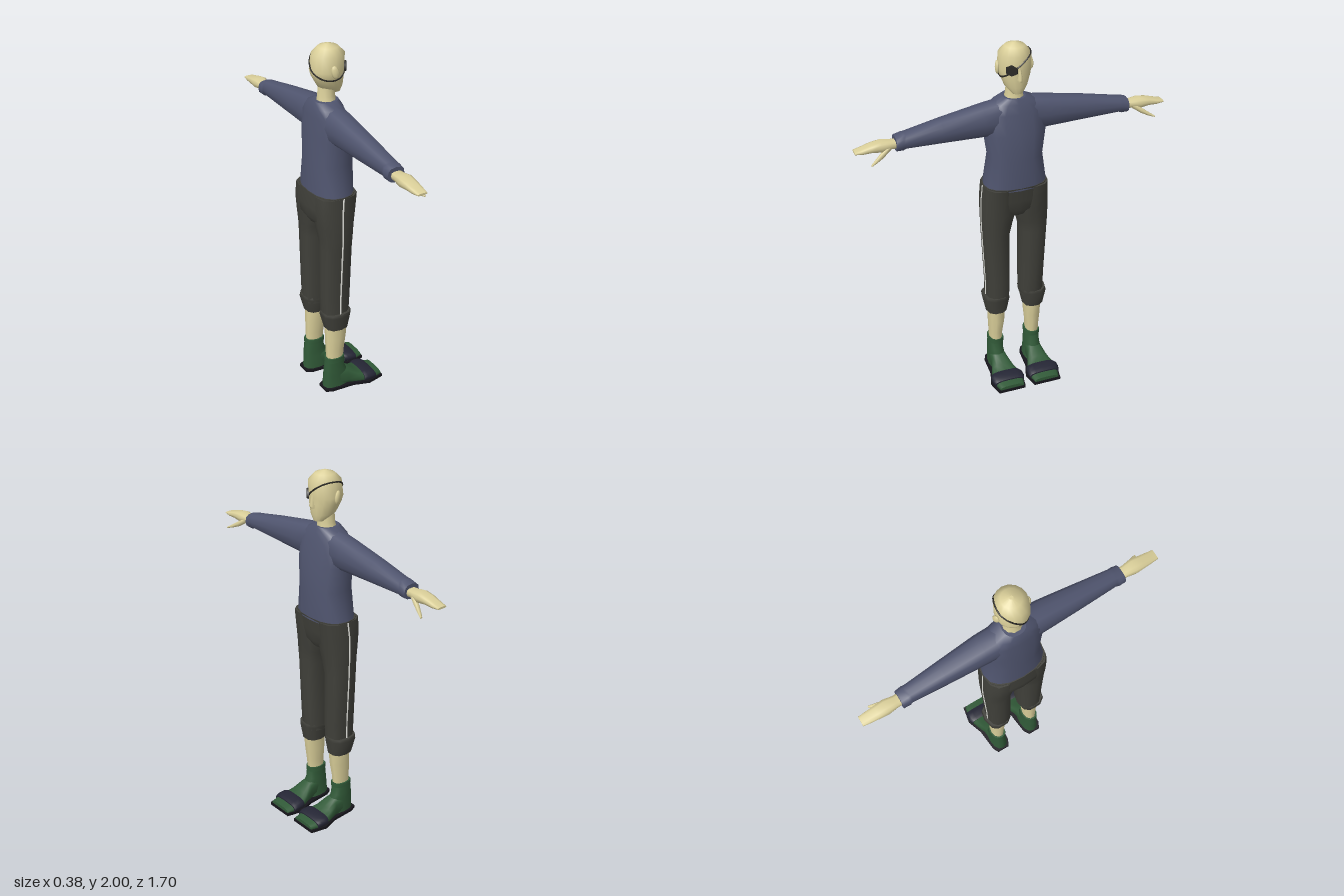
import * as THREE from 'three';

const mat = (name, color) => {
  const m = new THREE.MeshStandardMaterial({ color });
  m.name = name;
  return m;
};

// Unit vectors (u, v) across each lofting axis, with u x v along the axis.
const AXES = {
  x: (t, u, v) => [t, u, v],
  y: (t, u, v) => [v, t, u],
  z: (t, u, v) => [u, v, t],
};

// Point on a section [t, uMin, uMax, vMin, vMax], rounded by power p.
function sectionPoint(axis, [t, u0, u1, v0, v1], angle, p) {
  const bend = (k) => Math.sign(k) * Math.abs(k) ** (2 / p);
  const u = (u0 + u1) / 2 + ((u1 - u0) / 2) * bend(Math.cos(angle));
  const v = (v0 + v1) / 2 + ((v1 - v0) / 2) * bend(Math.sin(angle));
  return AXES[axis](t, u, v);
}

// Smooth closed skin through sections in rising order, with flat end caps.
function loft(axis, sections, sides = 12, p = 2.3) {
  const pos = [], index = [];
  const ring = (s) => {
    const start = pos.length / 3;
    for (let j = 0; j < sides; j++) pos.push(...sectionPoint(axis, s, (j / sides) * Math.PI * 2, p));
    return start;
  };
  const starts = sections.map(ring);
  for (let i = 0; i + 1 < starts.length; i++) {
    for (let j = 0; j < sides; j++) {
      const k = (j + 1) % sides;
      const a = starts[i] + j, b = starts[i] + k, c = starts[i + 1] + j, d = starts[i + 1] + k;
      index.push(a, b, c, b, d, c);
    }
  }
  [sections[0], sections[sections.length - 1]].forEach((s, end) => {
    const start = ring(s), mid = pos.length / 3;
    pos.push(...AXES[axis](s[0], (s[1] + s[2]) / 2, (s[3] + s[4]) / 2));
    for (let j = 0; j < sides; j++) {
      const a = start + j, b = start + ((j + 1) % sides);
      index.push(mid, end ? a : b, end ? b : a);
    }
  });
  const g = new THREE.BufferGeometry();
  g.setAttribute('position', new THREE.Float32BufferAttribute(pos, 3));
  g.setIndex(index);
  g.computeVertexNormals();
  return g;
}

// Copy reflected to the other side of the body.
function mirrored(geometry) {
  const g = geometry.clone().scale(1, 1, -1);
  const a = g.index.array;
  for (let i = 0; i < a.length; i += 3) [a[i], a[i + 1]] = [a[i + 1], a[i]];
  g.computeVertexNormals();
  return g;
}

export function createModel() {
  const skin = mat('skin', 0xdbd09a), shirt = mat('shirt blue', 0x50556f);
  const cloth = mat('trouser grey', 0x40403a), green = mat('shoe green', 0x315a38);
  const sole = mat('sole black', 0x17161c), band = mat('band navy', 0x252635);
  const white = mat('stripe white', 0xe4e4de), patch = mat('patch black', 0x2b2a26);

  const model = new THREE.Group();
  model.name = 'figure';
  const add = (name, geometry, material) => {
    const m = new THREE.Mesh(geometry, material);
    m.name = name;
    model.add(m);
    return m;
  };
  const pair = (name, geometry, material) => {
    add(name + 'Right', geometry, material);
    add(name + 'Left', mirrored(geometry), material);
  };

  // Head and neck
  const headRings = [
    [1.742, -0.028, 0.028, -0.04, 0.008],
    [1.78, -0.06, 0.06, -0.115, 0.021],
    [1.835, -0.08, 0.08, -0.145, 0.025],
    [1.87, -0.087, 0.087, -0.155, 0.024],
    [1.95, -0.083, 0.083, -0.145, 0.03],
    [1.985, -0.052, 0.052, -0.11, -0.005],
    [2.0, -0.01, 0.01, -0.07, -0.05],
  ];
  add('head', loft('y', headRings, 16, 2), skin);
  add('neck', loft('y', [
    [1.68, -0.058, 0.058, -0.125, -0.015],
    [1.73, -0.045, 0.045, -0.115, -0.022],
    [1.8, -0.045, 0.045, -0.11, -0.022],
  ], 10, 2), skin);
  add('nose', loft('y', [
    [1.815, -0.014, 0.014, 0.0, 0.034],
    [1.83, -0.014, 0.014, 0.0, 0.043],
    [1.885, -0.006, 0.006, 0.0, 0.027],
  ], 6, 2), skin);
  pair('ear', new THREE.SphereGeometry(1, 8, 6).scale(0.02, 0.036, 0.012)
    .rotateZ(0.2).rotateY(-0.3).translate(-0.068, 1.875, 0.089), skin);

  // Eye patch and its slanting strap, which follows the head surface
  const headPoint = (angle, y) => {
    let i = 0;
    while (i < headRings.length - 2 && headRings[i + 1][0] < y) i++;
    const a = headRings[i], b = headRings[i + 1], k = (y - a[0]) / (b[0] - a[0]);
    return sectionPoint('y', a.map((n, j) => n + (b[j] - n) * k), angle, 2);
  };
  const strap = [];
  for (let i = 0; i < 32; i++) {
    const angle = (i / 32) * Math.PI * 2;
    let y = 1.89, q;
    for (let n = 0; n < 12; n++) {
      q = headPoint(angle, y);
      y = (y + 1.9 + 0.15 * q[0] - 0.8 * q[2]) / 2;
    }
    strap.push(new THREE.Vector3(...q));
  }
  add('eyePatchStrap', new THREE.TubeGeometry(new THREE.CatmullRomCurve3(strap, true), 64, 0.0045, 5, true), patch);
  add('eyePatch', new THREE.CylinderGeometry(0.033, 0.035, 0.009, 6).scale(1, 1, 0.85)
    .rotateX(Math.PI / 2).rotateY(0.93).translate(0.018, 1.88, 0.044), patch);

  // Jumper
  add('torso', loft('y', [
    [1.2, -0.174, 0.174, -0.182, 0.045],
    [1.38, -0.146, 0.146, -0.178, 0.051],
    [1.52, -0.168, 0.168, -0.168, 0.037],
    [1.63, -0.165, 0.165, -0.158, 0.016],
    [1.68, -0.12, 0.12, -0.15, 0.002],
    [1.707, -0.06, 0.06, -0.138, -0.008],
  ], 16, 2.4), shirt);
  pair('sleeve', loft('z', [
    [0.06, -0.145, 0.005, 1.5, 1.697],
    [0.18, -0.142, 0.005, 1.508, 1.678],
    [0.4, -0.129, -0.01, 1.512, 1.638],
    [0.585, -0.116, -0.022, 1.515, 1.6],
    [0.6, -0.12, -0.019, 1.509, 1.598],
    [0.637, -0.118, -0.022, 1.509, 1.588],
  ], 12, 2.5), shirt);

  // Hands: mitten of fingers and a separate thumb
  pair('hand', loft('z', [
    [0.62, -0.098, -0.036, 1.525, 1.567],
    [0.66, -0.1, -0.036, 1.526, 1.568],
    [0.71, -0.107, -0.028, 1.518, 1.575],
    [0.76, -0.105, -0.032, 1.525, 1.566],
    [0.81, -0.099, -0.034, 1.525, 1.552],
    [0.848, -0.094, -0.038, 1.531, 1.542],
  ], 10, 3.2), skin);
  pair('thumb', loft('z', [
    [0.665, -0.06, -0.035, 1.525, 1.555],
    [0.71, -0.05, -0.018, 1.495, 1.53],
    [0.745, -0.03, -0.005, 1.482, 1.505],
    [0.778, -0.008, 0.006, 1.474, 1.483],
  ], 6, 2), skin);

  // Trousers
  add('trouserSeat', loft('y', [
    [1.03, -0.07, 0.07, -0.165, 0.0],
    [1.07, -0.165, 0.165, -0.188, 0.022],
    [1.13, -0.18, 0.18, -0.193, 0.033],
    [1.215, -0.176, 0.176, -0.186, 0.046],
  ], 16, 2.6), cloth);
  const leg = [
    [0.47, 0.035, 0.165, -0.158, -0.008],
    [0.6, 0.033, 0.166, -0.163, 0.0],
    [0.9, 0.033, 0.181, -0.164, 0.005],
    [0.97, 0.018, 0.184, -0.168, 0.012],
    [1.04, 0.0, 0.185, -0.178, 0.02],
    [1.13, 0.0, 0.182, -0.188, 0.033],
    [1.21, 0.0, 0.177, -0.184, 0.044],
  ];
  pair('trouserLeg', loft('y', leg, 12, 2.5), cloth);
  pair('trouserCuff', loft('y', [
    [0.4, 0.05, 0.167, -0.145, -0.012],
    [0.49, 0.031, 0.186, -0.168, 0.003],
    [0.505, 0.035, 0.181, -0.163, 0.0],
  ], 10, 2.4), cloth);
  pair('sideStripe', loft('y', leg.map(([y, , z, x0, x1]) => {
    const x = (x0 + x1) / 2;
    return [y, z - 0.004, z + 0.004, x - 0.005, x + 0.005];
  }), 4, 2), white);

  // Bare shins
  pair('shin', loft('y', [
    [0.17, 0.075, 0.145, -0.138, -0.04],
    [0.25, 0.073, 0.147, -0.14, -0.032],
    [0.33, 0.063, 0.152, -0.142, -0.02],
    [0.45, 0.058, 0.155, -0.143, -0.008],
  ], 10, 2.2), skin);

  // Boots: ankle, rim and foot
  pair('bootAnkle', loft('y', [
    [0.012, 0.06, 0.155, -0.16, 0.0],
    [0.09, 0.066, 0.153, -0.156, -0.005],
    [0.13, 0.069, 0.152, -0.152, -0.03],
    [0.195, 0.071, 0.15, -0.145, -0.037],
  ], 12, 2.4), green);
  pair('bootRim', loft('y', [
    [0.178, 0.066, 0.154, -0.149, -0.032],
    [0.205, 0.067, 0.153, -0.147, -0.033],
  ], 12, 2.4), green);
  pair('bootFoot', loft('x', [
    [-0.08, 0.0, 0.13, 0.066, 0.153],
    [-0.02, 0.0, 0.112, 0.06, 0.158],
    [0.03, 0.0, 0.075, 0.042, 0.175],
    [0.08, 0.0, 0.054, 0.022, 0.19],
    [0.13, 0.0, 0.045, 0.022, 0.188],
    [0.18, 0.0, 0.036, 0.034, 0.176],
  ], 14, 2.8), green);
  pair('toeBand', loft('x', [
    [0.066, 0.004, 0.06, 0.022, 0.192],
    [0.085, 0.004, 0.064, 0.014, 0.199],
    [0.12, 0.004, 0.06, 0.013, 0.199],
    [0.14, 0.004, 0.05, 0.018, 0.193],
  ], 14, 2.8), band);

  // Flat soles
  const outline = [[-0.165, 0.075], [-0.165, 0.145], [-0.13, 0.162], [0, 0.172], [0.09, 0.203],
    [0.185, 0.184], [0.185, 0.028], [0.09, 0.01], [0, 0.042], [-0.13, 0.055]];
  const soleShape = new THREE.Shape(outline.map(([x, z]) => new THREE.Vector2(x, -z)));
  const soleGeometry = new THREE.ExtrudeGeometry(soleShape, { depth: 0.016, bevelEnabled: false }).rotateX(-Math.PI / 2);
  add('soleRight', soleGeometry, sole);
  add('soleLeft', soleGeometry.clone().rotateX(Math.PI).translate(0, 0.016, 0), sole);

  return model;
}
